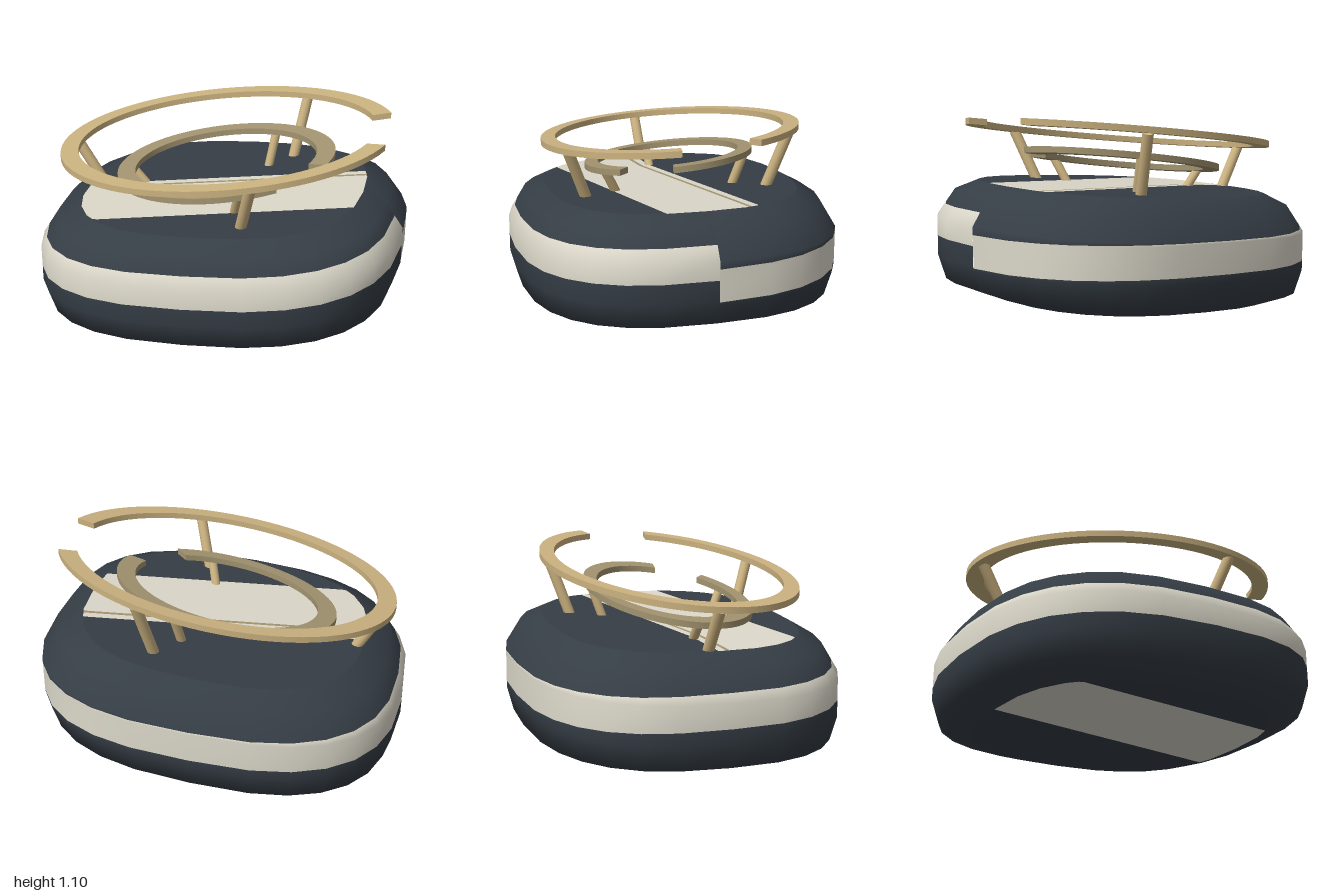
import * as THREE from 'three';
import { toCreasedNormals } from 'three/addons/utils/BufferGeometryUtils.js';

const material = (name, color) => {
  const m = new THREE.MeshStandardMaterial({ color });
  m.name = name;
  return m;
};

const SIDES = 28, DEPTH = 0.86, POWER = 2 / 2.65, SLOPE = 0.075;
const rounded = (v) => Math.sign(v) * Math.pow(Math.abs(v) < 1e-9 ? 0 : Math.abs(v), POWER);
// Rounded plan outline, scaled by s
const outline = (i, s) => {
  const t = (i / SIDES) * Math.PI * 2;
  return [s * rounded(Math.cos(t)), s * DEPTH * rounded(Math.sin(t))];
};

// Side profile of the body: [scale, height]
const PROFILE = [[0.79, 0.06], [0.96, 0.12], [1, 0.25], [1, 0.46], [0.905, 0.605], [0.775, 0.665]];
function profileScale(y) {
  for (let k = 1; k < PROFILE.length; k++) {
    const [s0, y0] = PROFILE[k - 1], [s1, y1] = PROFILE[k];
    if (y <= y1) return s0 + (s1 - s0) * (y - y0) / (y1 - y0);
  }
  return 0.775;
}

// Height of the stripe's middle, falling as it winds once round
const STRIPE = [0.446, 0.436, 0.417, 0.378, 0.33];
function stripeHeight(i) {
  const t = (i / SIDES) * 4, k = Math.min(3, Math.floor(t));
  return STRIPE[k] + (STRIPE[k + 1] - STRIPE[k]) * (t - k);
}

function bodyShell(dark, ivory) {
  const pos = [], index = [], stripeIndex = [], rows = 9;
  for (let i = 0; i <= SIDES; i++) {
    const c = stripeHeight(i), lo = c - 0.087, hi = c + 0.087;
    const heights = [0.06, 0.12, Math.min(0.25, lo - 0.01), lo,
      THREE.MathUtils.clamp(0.46, lo + 0.01, hi - 0.01), hi,
      Math.max(0.46, hi + 0.01), 0.605, 0.665];
    for (const y of heights) {
      const [x, z] = outline(i, profileScale(y));
      pos.push(x, y + SLOPE * x, z);
    }
  }
  for (let i = 0; i < SIDES; i++) {
    for (let r = 0; r < rows - 1; r++) {
      const a = i * rows + r, b = a + rows;
      (r === 3 || r === 4 ? stripeIndex : index).push(a, a + 1, b, a + 1, b + 1, b);
    }
  }
  const g = new THREE.BufferGeometry();
  g.setAttribute('position', new THREE.Float32BufferAttribute(pos, 3));
  g.setIndex([...index, ...stripeIndex]);
  g.addGroup(0, index.length, 0);
  g.addGroup(index.length, stripeIndex.length, 1);
  g.computeVertexNormals();
  // Even out the shading where the winding stripe starts and ends
  const n = g.attributes.normal;
  for (let r = 0; r < rows; r++) {
    for (const k of [r, SIDES * rows + r]) {
      const l = Math.hypot(n.getX(k), n.getY(k));
      n.setXYZ(k, n.getX(k) / l, n.getY(k) / l, 0);
    }
  }
  const mesh = new THREE.Mesh(g, [dark, ivory]);
  mesh.name = 'bodyShell';
  return mesh;
}

// Flat face of the body between two lines z = from(x) and z = to(x), clipped to the outline
function capStrip(name, mat, s, y, from, to, up) {
  const pos = [], index = [], fine = 4, count = (SIDES / 2) * fine;
  for (let j = 0; j <= count; j++) {
    const i = Math.min(SIDES / 2 - 1, Math.floor(j / fine)), f = j / fine - i;
    const [x0, z0] = outline(i, s), [x1, z1] = outline(i + 1, s);
    const x = x0 + (x1 - x0) * f, edge = Math.max(0, z0 + (z1 - z0) * f);
    for (const line of [from, to]) {
      pos.push(x, y + SLOPE * x, THREE.MathUtils.clamp(line(x), -edge, edge));
    }
    if (j < count) {
      const a = j * 2;
      if (up) index.push(a, a + 2, a + 1, a + 1, a + 2, a + 3);
      else index.push(a, a + 1, a + 2, a + 1, a + 3, a + 2);
    }
  }
  const g = new THREE.BufferGeometry();
  g.setAttribute('position', new THREE.Float32BufferAttribute(pos, 3));
  g.setIndex(index);
  const normal = new THREE.Vector3(-SLOPE, 1, 0).normalize().multiplyScalar(up ? 1 : -1);
  g.setAttribute('normal', new THREE.Float32BufferAttribute(
    Array.from({ length: pos.length / 3 }, () => normal.toArray()).flat(), 3));
  const mesh = new THREE.Mesh(g, mat);
  mesh.name = name;
  return mesh;
}

// Open oval ring on a tilted plane y = a + b x - c z; angles run from +x towards +z
function openRing(name, mat, { outer, inner, start, end, plane: [a, b, c], height = 0.033 }) {
  const shape = new THREE.Shape(), steps = 72;
  const point = (j, [rx, rz]) => {
    const t = THREE.MathUtils.degToRad(start + (end - start) * j / steps);
    return [rx * Math.cos(t), -rz * Math.sin(t)];
  };
  shape.moveTo(...point(0, outer));
  for (let j = 1; j <= steps; j++) shape.lineTo(...point(j, outer));
  for (let j = steps; j >= 0; j--) shape.lineTo(...point(j, inner));
  shape.closePath();
  const g = new THREE.ExtrudeGeometry(shape, { depth: height, bevelEnabled: false });
  g.rotateX(-Math.PI / 2);
  const p = g.attributes.position;
  for (let k = 0; k < p.count; k++) {
    p.setY(k, p.getY(k) - height / 2 + a + b * p.getX(k) - c * p.getZ(k));
  }
  const mesh = new THREE.Mesh(toCreasedNormals(g, 0.6), mat);
  mesh.name = name;
  return mesh;
}

// Round post between two points
function post(name, mat, radius, bottom, top) {
  const a = new THREE.Vector3(...bottom), b = new THREE.Vector3(...top);
  const dir = b.clone().sub(a);
  const mesh = new THREE.Mesh(new THREE.CylinderGeometry(radius, radius, dir.length(), 12), mat);
  mesh.position.copy(a).add(b).multiplyScalar(0.5);
  mesh.quaternion.setFromUnitVectors(new THREE.Vector3(0, 1, 0), dir.normalize());
  mesh.name = name;
  return mesh;
}

export function createModel() {
  const dark = material('dark slate', 0x353d45);
  const ivory = material('ivory', 0xdcd8ca);
  const brass = material('brass', 0xcbb280);
  const dull = material('dull brass', 0xa39470);
  const group = new THREE.Group();
  group.name = 'ringedStone';

  // Body
  group.add(bodyShell(dark, ivory));

  // Top face: diagonal ivory band with a thin inlaid line
  const topEdge = (x) => Math.min(-0.12 - 0.226 * x, -0.05 - 0.07 * x);
  const topLines = [() => -1, topEdge, (x) => topEdge(x) + 0.043, (x) => topEdge(x) + 0.063,
    (x) => 0.38 - 0.23 * x, () => 1];
  [dark, ivory, dull, ivory, dark].forEach((mat, k) => {
    const name = ['topBack', 'topBandBack', 'topInlay', 'topBandFront', 'topFront'][k];
    group.add(capStrip(name, mat, 0.775, 0.665, topLines[k], topLines[k + 1], true));
  });

  // Underside with its own band
  const baseLines = [() => -1, (x) => -0.145 - 0.19 * x, (x) => 0.44 - 0.15 * x, () => 1];
  [dark, ivory, dark].forEach((mat, k) => {
    const name = ['baseBack', 'baseBand', 'baseFront'][k];
    group.add(capStrip(name, mat, 0.79, 0.06, baseLines[k], baseLines[k + 1], false));
  });

  // Two open rings
  group.add(openRing('outerRing', brass, {
    outer: [0.93, 0.685], inner: [0.828, 0.606], start: 14, end: 339, plane: [0.955, 0.13, 0.058],
  }));
  group.add(openRing('innerRing', dull, {
    outer: [0.61, 0.448], inner: [0.508, 0.376], start: 52, end: 375.5, plane: [0.81, 0.16, 0.088],
  }));

  // Posts leaning outwards to the rings
  [[[-0.73, 0.59, -0.04], [-0.875, 0.83, -0.03]],
    [[0.28, 0.67, -0.48], [0.335, 1.02, -0.6]],
    [[0.22, 0.66, 0.5], [0.3, 0.95, 0.61]]]
    .forEach(([a, b]) => group.add(post('outerPost', brass, 0.03, a, b)));
  [[[-0.46, 0.61, -0.02], [-0.555, 0.715, -0.02]],
    [[0.17, 0.66, -0.32], [0.2, 0.87, -0.39]],
    [[0.14, 0.66, 0.32], [0.18, 0.8, 0.39]]]
    .forEach(([a, b]) => group.add(post('innerPost', brass, 0.025, a, b)));

  return group;
}
